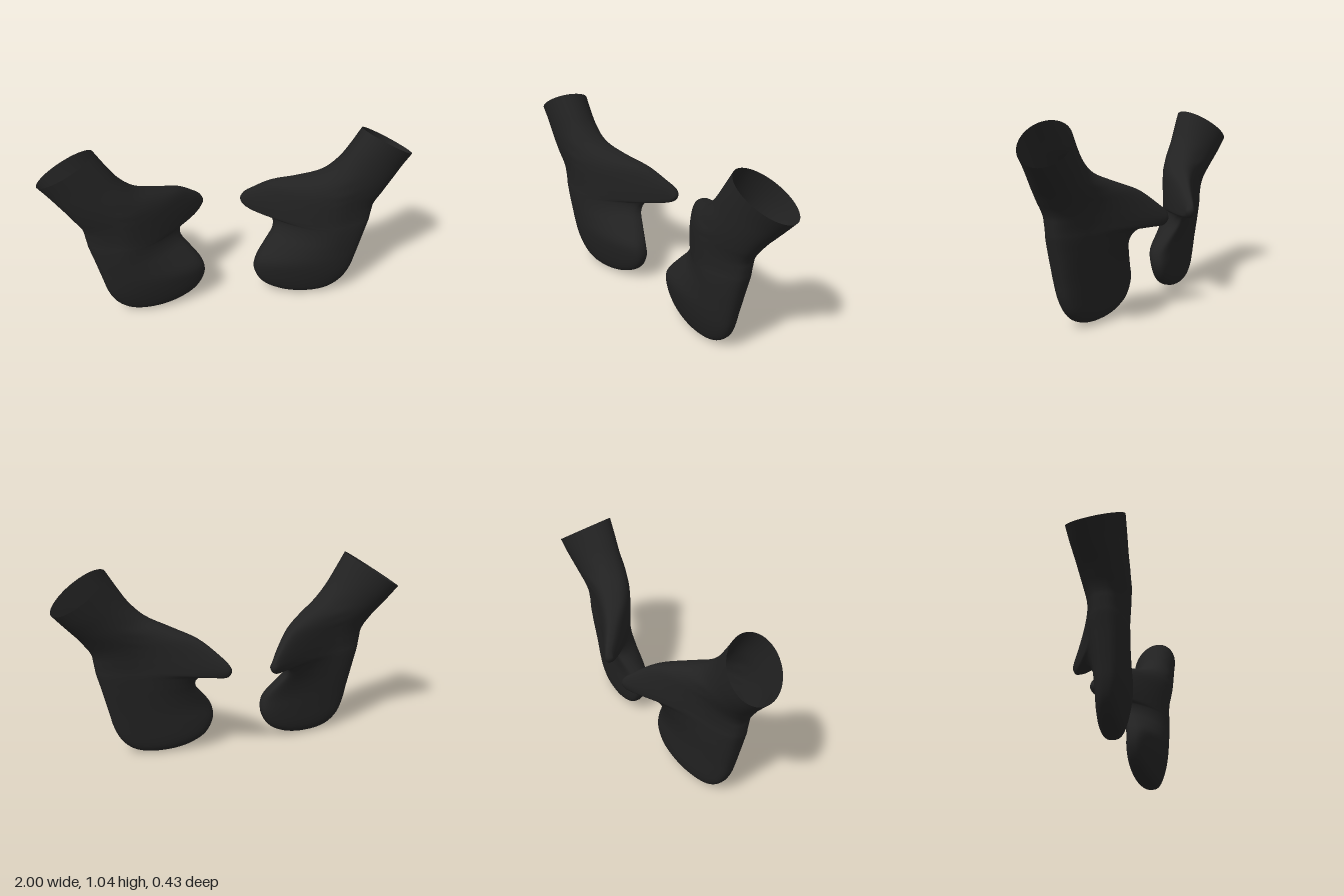
import * as THREE from 'three';

const { lerp, clamp, smoothstep } = THREE.MathUtils;

// Little-finger edge, cuff to fingertips: [y, x, centre z, half thickness]
const OUTER_EDGE = [
  [0.85, 1.0, 0.077, 0.137],
  [0.69, 0.86, 0.095, 0.119],
  [0.6, 0.797, 0.1, 0.11],
  [0.48, 0.779, 0.102, 0.104],
  [0.4, 0.757, 0.104, 0.1],
  [0.25, 0.72, 0.106, 0.095],
  [0.16, 0.697, 0.103, 0.086],
  [0.085, 0.66, 0.096, 0.073],
  [0.035, 0.605, 0.092, 0.058],
  [0.01, 0.54, 0.09, 0.038],
  [0, 0.43, 0.088, 0.001],
];
// Thumb edge and the outer height it is joined to: [outer y, x, y]
const THUMB_EDGE = [
  [0.85, 0.7, 1.04],
  [0.795, 0.64, 0.945],
  [0.74, 0.585, 0.865],
  [0.7, 0.5, 0.785],
  [0.655, 0.37, 0.725],
  [0.62, 0.25, 0.672],
  [0.585, 0.165, 0.6],
  [0.555, 0.115, 0.545],
  [0.53, 0.1, 0.51],
  [0.51, 0.12, 0.476],
  [0.485, 0.185, 0.468],
  [0.45, 0.24, 0.464],
  [0.41, 0.263, 0.435],
  [0.37, 0.258, 0.395],
  [0.315, 0.212, 0.335],
  [0.245, 0.152, 0.25],
  [0.16, 0.142, 0.17],
  [0.085, 0.185, 0.085],
  [0.035, 0.26, 0.037],
  [0.01, 0.34, 0.012],
  [0, 0.425, 0],
];
const AROUND = 64, STEPS = 4;

// Outer edge values at a height
function outerAt(y) {
  const i = Math.max(1, OUTER_EDGE.findIndex((row) => row[0] <= y));
  const above = OUTER_EDGE[i - 1], below = OUTER_EDGE[i];
  const t = (above[0] - y) / (above[0] - below[0]);
  return above.map((value, k) => lerp(value, below[k], t));
}

// How far the thumb, and slightly the fingers, curl back
function curl(x, y) {
  const reach = clamp((0.6 - x) / 0.48, 0, 1);
  return Math.pow(reach, 1.6) * lerp(0.05, 0.26, smoothstep(y, 0.25, 0.5));
}

// Point on a section at an angle, running outer edge, front, thumb edge, back
function sectionPoint([outerY, ix, iy], angle) {
  const [oy, ox, centre, half] = outerAt(outerY);
  const u = (1 - Math.cos(angle)) / 2, s = Math.sin(angle);
  const x = lerp(ox, ix, u), y = lerp(oy, iy, u);
  const cuff = smoothstep(outerY, 0.62, 0.85);
  const back = curl(x, y);
  // Round at the cuff, flatter over the hand, slimmer towards the thumb tip
  const thick = half * (1 - 1.6 * back) * Math.sign(s) * Math.pow(Math.abs(s), lerp(0.72, 1, cuff));
  return new THREE.Vector3(x, y + 0.19 * thick * cuff, centre - back + thick + 0.05 * (u - 0.5) * cuff);
}

// Smooth shell, open at the cuff; side is 1 for left, -1 for right
function mittenGeometry(side) {
  const rows = (THUMB_EDGE.length - 1) * STEPS;
  const curves = Array.from({ length: AROUND }, (_, j) => new THREE.CatmullRomCurve3(
    THUMB_EDGE.map((section) => sectionPoint(section, (j / AROUND) * Math.PI * 2))));
  const positions = [], indices = [];
  for (let i = 0; i <= rows; i++) {
    for (const curve of curves) {
      const p = curve.getPoint(i / rows);
      positions.push(p.x * side, Math.max(p.y, 0), p.z);
    }
  }
  for (let i = 0; i < rows; i++) {
    for (let j = 0; j < AROUND; j++) {
      const a = i * AROUND + j, b = i * AROUND + (j + 1) % AROUND;
      const c = a + AROUND, d = b + AROUND;
      if (side > 0) indices.push(a, b, c, b, d, c);
      else indices.push(a, c, b, b, c, d);
    }
  }
  const geometry = new THREE.BufferGeometry();
  geometry.setAttribute('position', new THREE.Float32BufferAttribute(positions, 3));
  geometry.setIndex(indices);
  return geometry;
}

export function createModel() {
  const group = new THREE.Group();
  group.name = 'mittens';
  const knit = new THREE.MeshStandardMaterial({ color: 0x222222, side: THREE.DoubleSide });
  knit.name = 'charcoal';

  for (const side of [1, -1]) {
    const geometry = mittenGeometry(side);
    // The right mitten is turned slightly further back about its cuff
    if (side < 0) {
      geometry.translate(0.85, 0, -0.07).rotateY(0.045).translate(-0.85, 0, 0.07);
    }
    geometry.computeVertexNormals();
    const mitten = new THREE.Mesh(geometry, knit);
    mitten.name = side > 0 ? 'leftMitten' : 'rightMitten';
    group.add(mitten);
  }
  return group;
}
